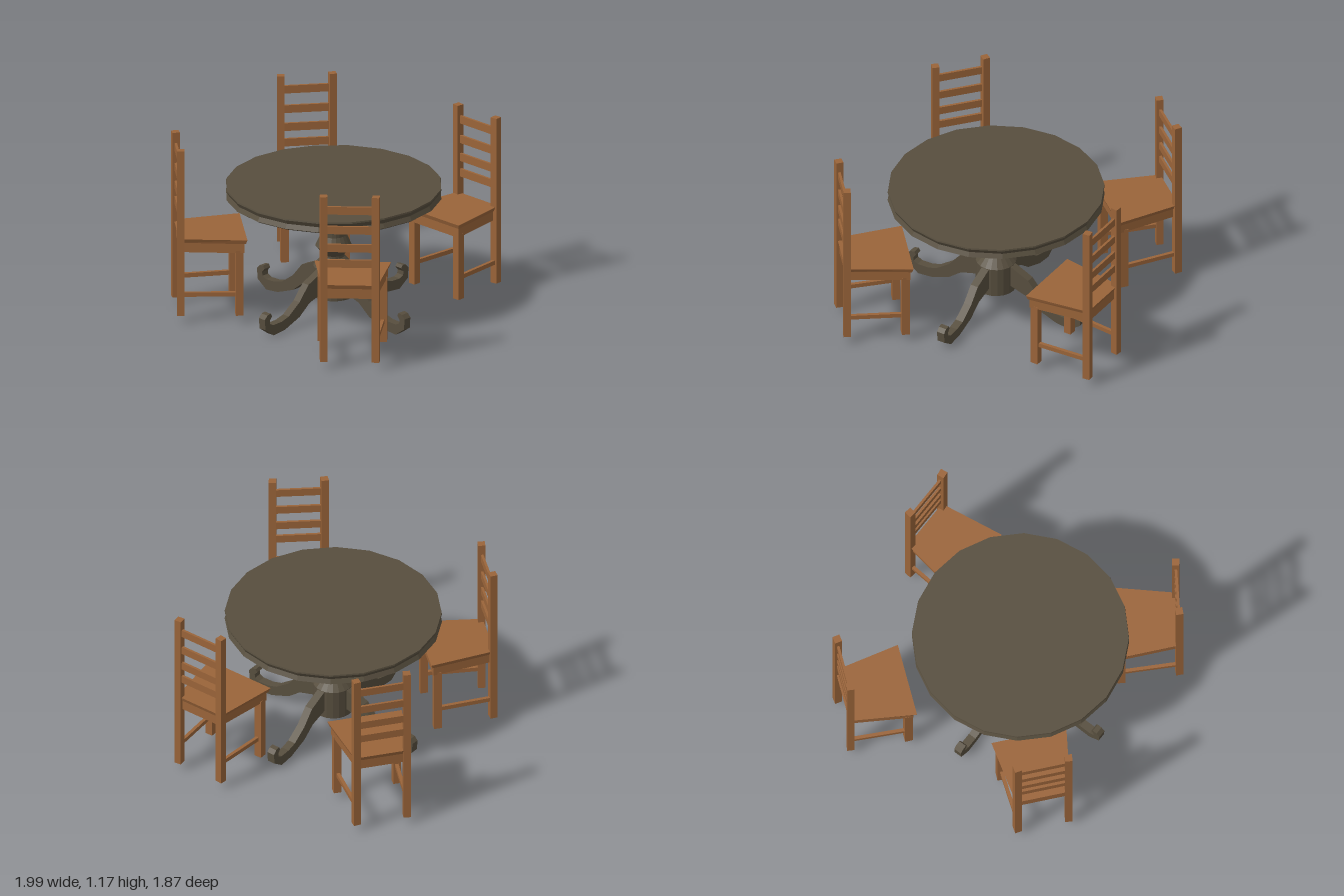
import * as THREE from 'three';

const wood = new THREE.MeshStandardMaterial({ color: 0x9a6439, flatShading: true });
wood.name = 'chair wood';
const darkWood = new THREE.MeshStandardMaterial({ color: 0x574e3e, flatShading: true });
darkWood.name = 'dark table wood';

function add(parent, name, geometry, material, x = 0, y = 0, z = 0, ry = 0) {
  const mesh = new THREE.Mesh(geometry, material);
  mesh.name = name;
  mesh.position.set(x, y, z);
  mesh.rotation.y = ry;
  parent.add(mesh);
  return mesh;
}

const lathe = (points) =>
  new THREE.LatheGeometry(points.map(([r, y]) => new THREE.Vector2(r, y)), 20);

// Tapered board, wider at the front, whose lower edge is drawn in by `draft`
function taperedBoard(back, front, backHalf, frontHalf, y0, y1, draft = 0) {
  const geometry = new THREE.BoxGeometry(2, 1, 1);
  const p = geometry.attributes.position;
  for (let i = 0; i < p.count; i++) {
    const d = p.getY(i) < 0 ? draft : 0;
    const isFront = p.getZ(i) > 0;
    const half = (isFront ? frontHalf : backHalf) - d;
    p.setXYZ(i, Math.sign(p.getX(i)) * half, p.getY(i) < 0 ? y0 : y1, isFront ? front - d : back + d);
  }
  geometry.computeVertexNormals();
  return geometry;
}

// Chair facing +z, with its origin on the floor midway between the back posts
function createChair() {
  const chair = new THREE.Group();
  chair.name = 'chair';
  add(chair, 'seat', taperedBoard(-0.01, 0.417, 0.177, 0.2435, 0.54, 0.568, 0.01), wood);
  add(chair, 'seatApron', taperedBoard(0.0, 0.4, 0.162, 0.224, 0.475, 0.54), wood);

  const taper = 0.12;
  for (const s of [-1, 1]) {
    add(chair, 'backPost', new THREE.BoxGeometry(0.047, 1.12, 0.047), wood, s * 0.166, 0.61, 0, s * taper);
    add(chair, 'frontLeg', new THREE.BoxGeometry(0.05, 0.44, 0.05), wood, s * 0.195, 0.27, 0.37);
    add(chair, 'sideStretcher', new THREE.BoxGeometry(0.022, 0.028, 0.36), wood,
      s * 0.18, 0.19, 0.185, s * 0.078);
  }
  for (const y of [1.073, 0.94, 0.818, 0.713]) {
    add(chair, 'backSlat', new THREE.BoxGeometry(0.31, 0.052, 0.016), wood, 0, y, 0);
  }
  return chair;
}

function createTable() {
  const table = new THREE.Group();
  table.name = 'table';

  // Round top with a shallow groove around the rim
  add(table, 'tableTop', lathe([
    [0, 0.787], [0.675, 0.787], [0.69, 0.797], [0.675, 0.827], [0.69, 0.855], [0.688, 0.865], [0, 0.865],
  ]), darkWood);

  // Turned pedestal
  add(table, 'pedestal', lathe([
    [0, 0.115], [0.13, 0.115], [0.13, 0.315], [0.07, 0.38], [0.07, 0.395], [0.116, 0.45],
    [0.082, 0.525], [0.082, 0.6], [0.116, 0.69], [0.045, 0.7], [0.062, 0.752], [0.05, 0.79],
  ]), darkWood);

  // Four scrolled feet
  const outline = [
    [0.1, 0.315], [0.13, 0.312], [0.257, 0.255], [0.337, 0.16], [0.435, 0.09], [0.5, 0.072],
    [0.575, 0.07], [0.605, 0.085], [0.608, 0.11], [0.588, 0.135], [0.6, 0.155], [0.63, 0.15],
    [0.653, 0.125], [0.648, 0.055], [0.572, 0.0], [0.47, 0.01], [0.337, 0.06], [0.248, 0.13],
    [0.13, 0.165], [0.1, 0.165],
  ];
  const shape = new THREE.Shape(outline.map(([x, y]) => new THREE.Vector2(x, y)));
  const foot = new THREE.ExtrudeGeometry(shape, { depth: 0.053, bevelEnabled: false });
  foot.translate(0, 0, -0.0265);
  for (let i = 0; i < 4; i++) {
    add(table, 'scrolledFoot', foot, darkWood, 0, 0, 0, (i * Math.PI) / 2);
  }
  return table;
}

export function createModel() {
  const model = new THREE.Group();
  model.name = 'diningSet';

  const table = createTable();
  table.position.set(0.057, 0, 0.08);
  model.add(table);

  // Position and heading of each chair
  const places = [
    [0.361, -0.912, 0],
    [-0.866, -0.623, 0.913],
    [-0.628, 0.791, 2.447],
    [0.837, 0.735, -2.415],
  ];
  for (const [x, z, heading] of places) {
    const chair = createChair();
    chair.position.set(x, 0, z);
    chair.rotation.y = heading;
    model.add(chair);
  }
  return model;
}
